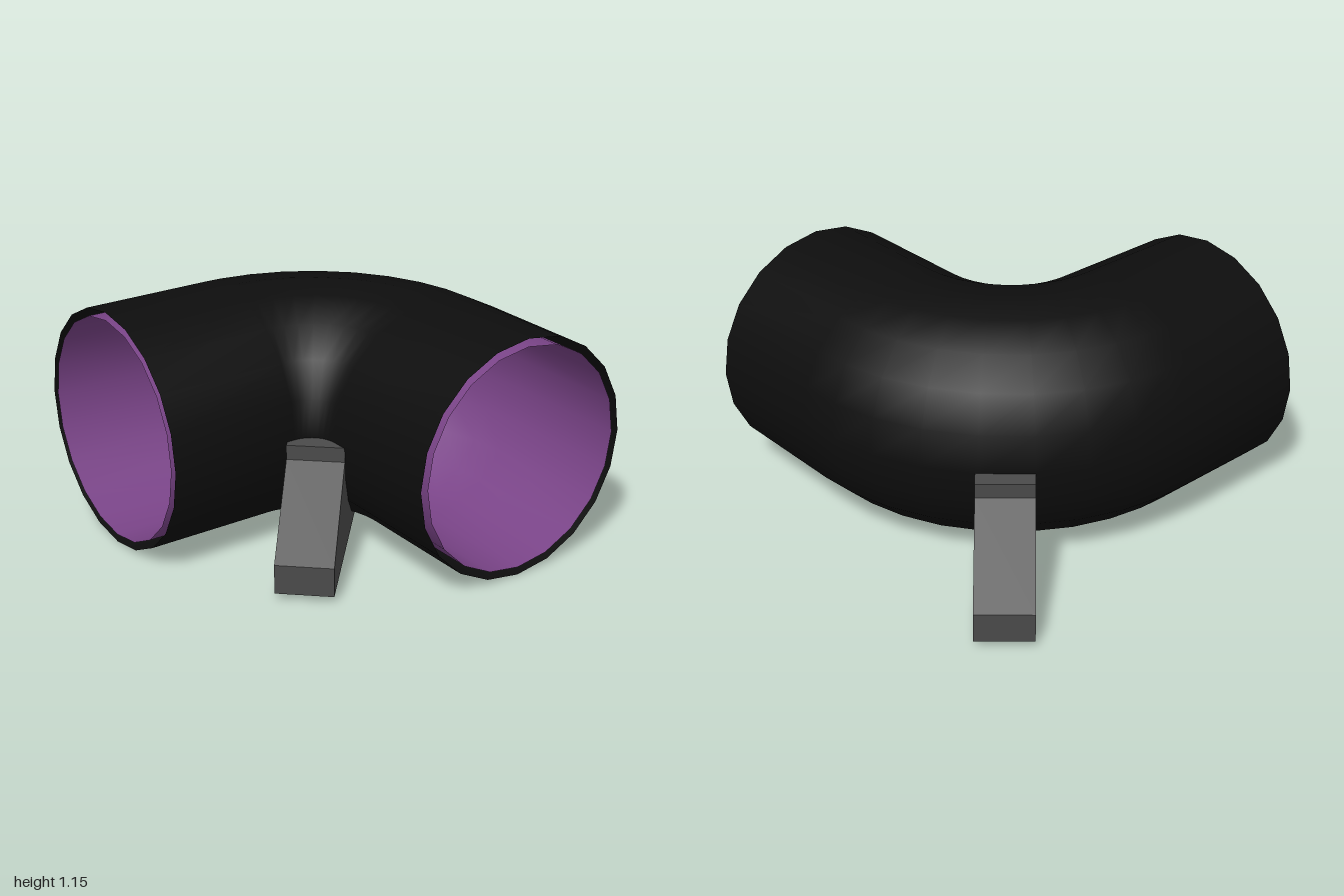
import * as THREE from 'three';

const AXIS_Y = 0.575, BEND_R = 0.7, BEND_X = -0.33, BEND_Z = 0.368, SIDES = 20;

// Stations along the elbow: straight end, bend angles, straight end
function stations() {
  const list = [{ x: -0.957, z: BEND_Z - BEND_R, a: 0 }];
  for (const deg of [0, 6, 15.5, 26, 37, 48.5, 60, 71, 81, 90]) {
    const a = THREE.MathUtils.degToRad(deg);
    list.push({ x: BEND_X + BEND_R * Math.sin(a), z: BEND_Z - BEND_R * Math.cos(a), a });
  }
  list.push({ x: BEND_X + BEND_R, z: 1, a: Math.PI / 2 });
  return list;
}

// Open-ended bent tube shell
function shell(radius, inward) {
  const pos = [], index = [], rings = stations();
  rings.forEach(({ x, z, a }, i) => {
    for (let j = 0; j < SIDES; j++) {
      const t = (j / SIDES) * Math.PI * 2, r = radius * Math.cos(t);
      pos.push(x + r * Math.sin(a), AXIS_Y + radius * Math.sin(t), z - r * Math.cos(a));
      if (i === rings.length - 1) continue;
      const p = i * SIDES + j, q = i * SIDES + ((j + 1) % SIDES);
      const u = p + SIDES, v = q + SIDES;
      if (inward) index.push(p, u, q, q, u, v);
      else index.push(p, q, u, q, v, u);
    }
  });
  const g = new THREE.BufferGeometry();
  g.setAttribute('position', new THREE.Float32BufferAttribute(pos, 3));
  g.setIndex(index);
  g.computeVertexNormals();
  return g;
}

// Gusset foot: two side plates joined by a band, left open against the pipe
function support(material) {
  const w = 0.266 / 2, cut = 0.522;
  const edge = [[cut, AXIS_Y], [0.66, AXIS_Y], [0.66, 0.505], [1.054, 0.175], [1.054, 0.035], [0.16, 0.035]];
  const arc = [];
  for (let k = 4; k >= 1; k--) {
    const t = (k / SIDES) * Math.PI * 2;
    arc.push([cut * Math.cos(t), AXIS_Y - cut * Math.sin(t)]);
  }
  const shape = new THREE.Shape([...edge, ...arc].map(([x, y]) => new THREE.Vector2(x, y)));

  const pos = [];
  for (let i = 0; i < edge.length - 1; i++) {
    const [ax, ay] = edge[i], [bx, by] = edge[i + 1];
    pos.push(ax, ay, w, bx, by, w, bx, by, -w, ax, ay, w, bx, by, -w, ax, ay, -w);
  }
  const band = new THREE.BufferGeometry();
  band.setAttribute('position', new THREE.Float32BufferAttribute(pos, 3));
  band.computeVertexNormals();

  const group = new THREE.Group();
  const bandMesh = new THREE.Mesh(band, material);
  bandMesh.name = 'supportBand';
  group.add(bandMesh);
  for (const side of [-1, 1]) {
    const plate = new THREE.Mesh(new THREE.ShapeGeometry(shape), material);
    plate.name = 'supportSide';
    plate.position.z = side * w;
    // the far plate faces the other way
    if (side < 0) plate.geometry.index.array.reverse(), plate.geometry.computeVertexNormals();
    group.add(plate);
  }
  return group;
}

export function createModel() {
  const model = new THREE.Group();
  model.name = 'pipeElbow';
  const mat = (color) => new THREE.MeshStandardMaterial({ color, side: THREE.DoubleSide });

  const outer = new THREE.Mesh(shell(0.573, false), mat(0x0d0d0d));
  outer.name = 'outerPipe';
  const inner = new THREE.Mesh(shell(0.535, true), mat(0x7a4488));
  inner.name = 'innerLining';
  model.add(outer, inner);

  // Feet on the outside and inside of the bend
  const grey = mat(0x4a4a4a);
  ['outerSupport', 'innerSupport'].forEach((name, i) => {
    const foot = support(grey);
    foot.name = name;
    foot.position.set(0.146, 0, -0.132);
    foot.rotation.y = 0.833 + i * Math.PI;
    model.add(foot);
  });
  return model;
}
